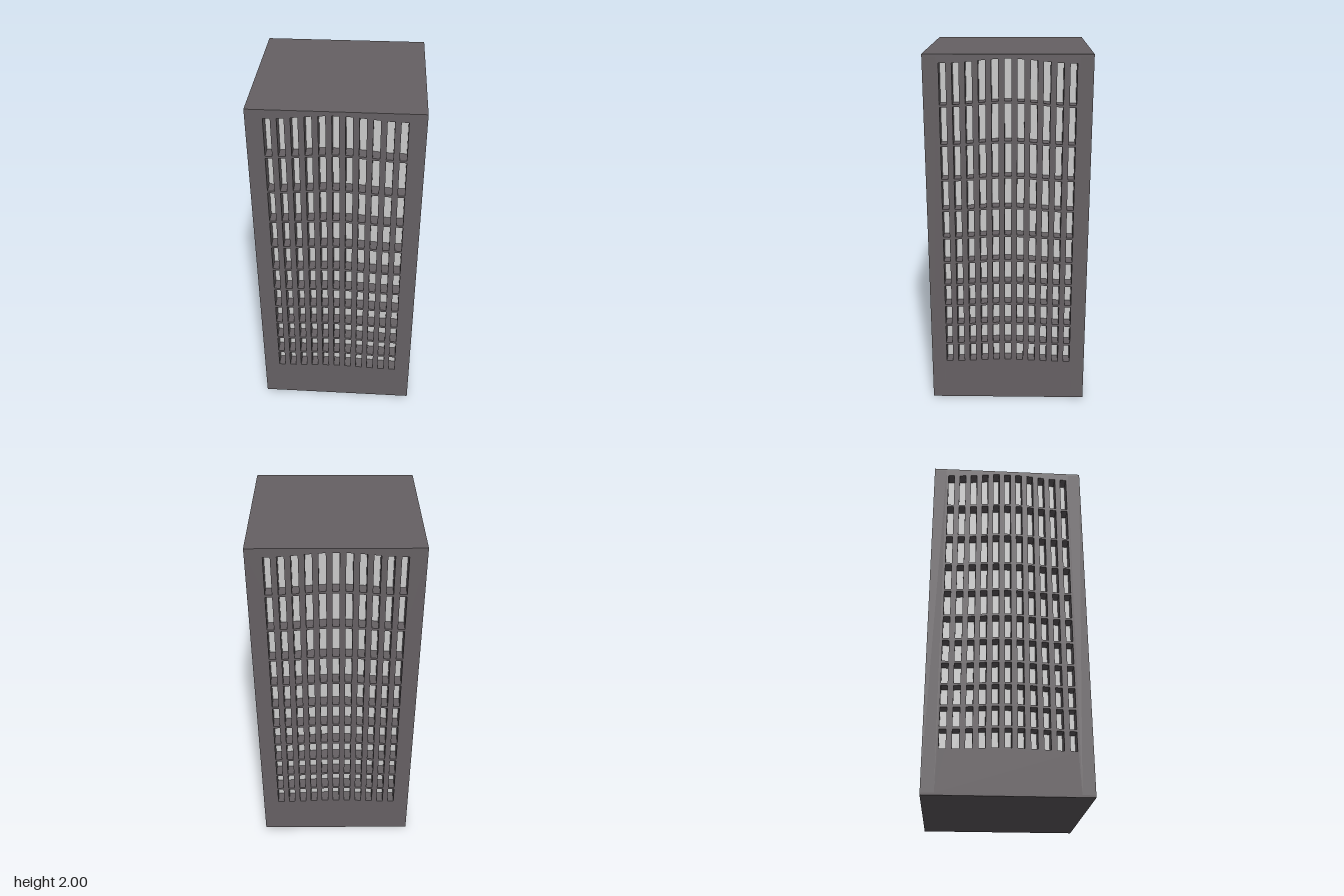
import * as THREE from 'three';

const W = 0.89, D = 0.88, H = 2;   // overall size
const T = 0.07;                    // facade thickness
const SLAB = 0.012;                // roof and base slabs
const COLS = 11, PITCH = 0.0676, WIN = 0.036, BAR = 0.013;
// Heights of the floor lines at the outer columns, growing upward
const FLOORS = [0.232, 0.35, 0.47, 0.592, 0.72, 0.855, 1.0, 1.16, 1.332, 1.523, 1.733, 1.96];

// Floor lines arch gently towards the middle of each facade
function lift(x, y) {
  const k = (1 + Math.cos(Math.PI * Math.min(1, Math.abs(x) / 0.34))) / 2;
  return y + (0.0105 + 0.0065 * y) * k;
}

// Wall panel with a grid of slit windows
function facadeGeometry(width) {
  const w = width / 2;
  const shape = new THREE.Shape([
    new THREE.Vector2(-w, SLAB), new THREE.Vector2(w, SLAB),
    new THREE.Vector2(w, H - SLAB), new THREE.Vector2(-w, H - SLAB),
  ]);
  for (let c = 0; c < COLS; c++) {
    const x = (c - (COLS - 1) / 2) * PITCH;
    const a = x - WIN / 2, b = x + WIN / 2;
    for (let r = 0; r < FLOORS.length - 1; r++) {
      const lo = FLOORS[r] + BAR / 2, hi = FLOORS[r + 1] - BAR / 2;
      shape.holes.push(new THREE.Path([
        new THREE.Vector2(a, lift(a, lo)), new THREE.Vector2(a, lift(a, hi)),
        new THREE.Vector2(b, lift(b, hi)), new THREE.Vector2(b, lift(b, lo)),
      ]));
    }
  }
  return new THREE.ExtrudeGeometry(shape, { depth: T, bevelEnabled: false });
}

export function createModel() {
  const tower = new THREE.Group();
  tower.name = 'tower';
  const stone = new THREE.MeshStandardMaterial({ color: 0x666164 });
  const grey = new THREE.MeshStandardMaterial({ color: 0xcccccc });

  const add = (name, geometry, material, y = 0) => {
    const mesh = new THREE.Mesh(geometry, material);
    mesh.name = name;
    mesh.position.y = y;
    tower.add(mesh);
    return mesh;
  };

  // Four facades; the side ones fit between front and back
  const wide = facadeGeometry(W).translate(0, 0, D / 2 - T);
  const narrow = facadeGeometry(D - 2 * T).translate(0, 0, W / 2 - T);
  ['frontFacade', 'leftFacade', 'backFacade', 'rightFacade'].forEach((name, i) => {
    add(name, i % 2 ? narrow : wide, stone).rotation.y = i * Math.PI / 2;
  });

  // Glazed core behind the slits
  add('glassCore', new THREE.BoxGeometry(W - 2 * T, H - 2 * SLAB, D - 2 * T), grey, H / 2);

  // Roof and base
  add('roof', new THREE.BoxGeometry(W, SLAB, D), stone, H - SLAB / 2);
  add('base', new THREE.BoxGeometry(W, SLAB, D), stone, SLAB / 2);
  return tower;
}
